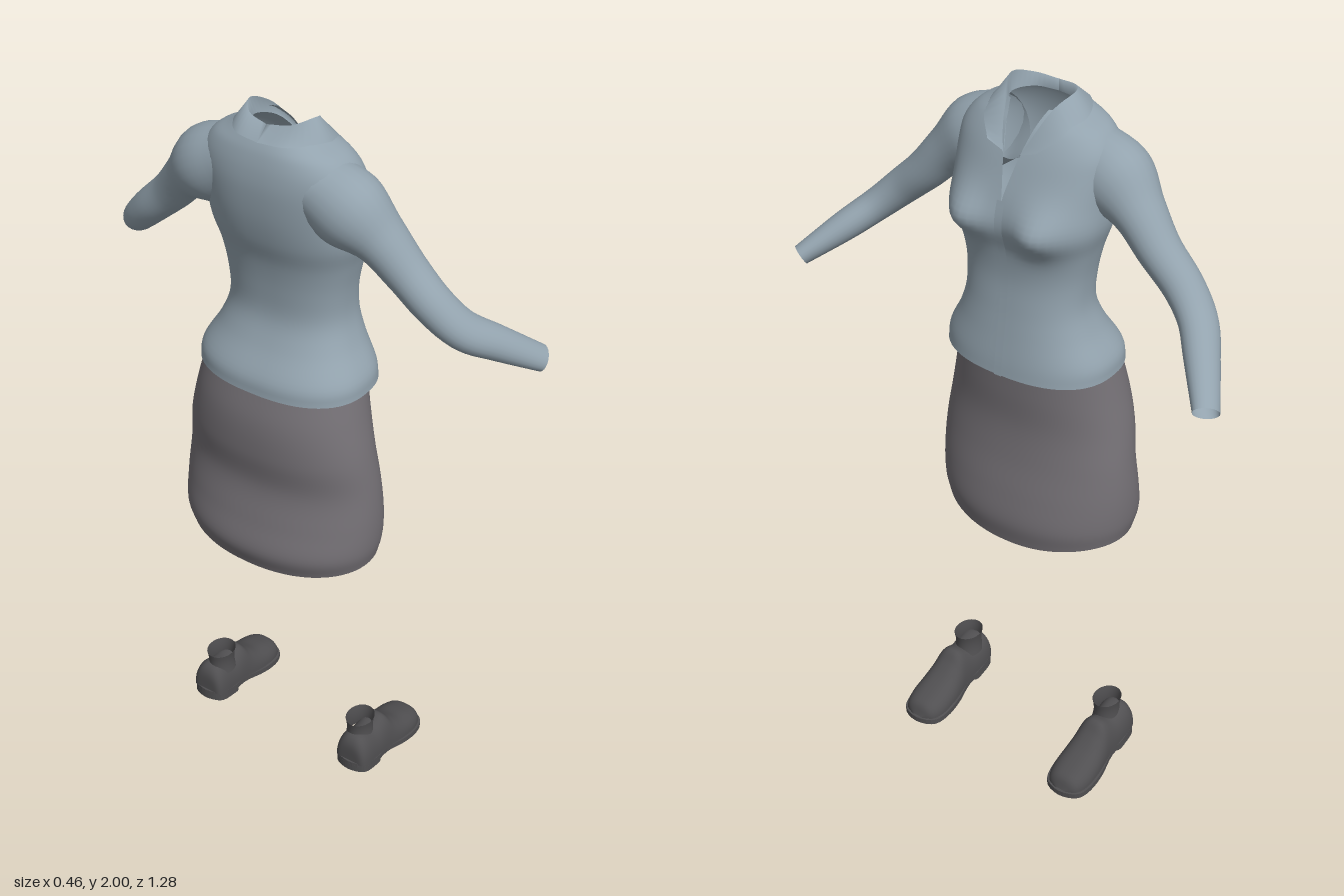
import * as THREE from 'three';

const mat = (name, color) => {
  const m = new THREE.MeshStandardMaterial({ color, side: THREE.DoubleSide });
  m.name = name;
  return m;
};

// Smooth surface from f(u, v); u runs round the section, v along the part
function grid(nu, nv, f, closed = false) {
  const pos = [], idx = [], w = closed ? nu : nu + 1;
  for (let j = 0; j <= nv; j++)
    for (let i = 0; i < w; i++) pos.push(...f(i / nu, j / nv));
  for (let j = 0; j < nv; j++)
    for (let i = 0; i < nu; i++) {
      const k = (i + 1) % w;
      const a = j * w + i, b = j * w + k, c = a + w, d = b + w;
      idx.push(a, c, b, b, c, d);
    }
  const g = new THREE.BufferGeometry();
  g.setAttribute('position', new THREE.Float32BufferAttribute(pos, 3));
  g.setIndex(idx);
  g.computeVertexNormals();
  return g;
}

// Smoothly sample a table of section rows
function sampler(rows) {
  const curve = (k) => new THREE.CatmullRomCurve3(
    rows.map((r) => new THREE.Vector3(r[k], r[k + 1] ?? 0, r[k + 2] ?? 0)), false, 'catmullrom', 0.5);
  const c1 = curve(0), c2 = curve(3);
  return (t) => [...c1.getPoint(t).toArray(), ...c2.getPoint(t).toArray()];
}

const spow = (v, p) => Math.sign(v) * Math.abs(v) ** p;

// Blouse body: height, back x, front x, half width, half neck gap
const torso = sampler([
  [1.275, -0.185, 0.148, 0.236, 0], [1.32, -0.178, 0.143, 0.23, 0],
  [1.39, -0.138, 0.132, 0.192, 0], [1.46, -0.112, 0.122, 0.17, 0],
  [1.54, -0.113, 0.115, 0.172, 0], [1.62, -0.125, 0.122, 0.188, 0],
  [1.69, -0.147, 0.137, 0.208, 0], [1.76, -0.161, 0.125, 0.21, 0.001],
  [1.83, -0.166, 0.1, 0.212, 0.015], [1.88, -0.162, 0.078, 0.205, 0.027],
  [1.92, -0.152, 0.055, 0.175, 0.038], [1.945, -0.14, 0.035, 0.13, 0.046],
  [1.965, -0.125, 0.02, 0.095, 0.055],
]);
const bust = (y, z) =>
  0.045 * Math.exp(-(((Math.abs(z) - 0.11) / 0.065) ** 2) - ((y - 1.7) / 0.06) ** 2);

function torsoPoint(u, v) {
  const n = 2.4, [y, back, front, w, gap] = torso(v);
  const a0 = Math.asin(Math.min(1, (Math.max(0, gap) / w) ** (n / 2)));
  const a = a0 + u * (2 * Math.PI - 2 * a0);
  const z = w * spow(Math.sin(a), 2 / n);
  const x = (front + back) / 2 + ((front - back) / 2) * spow(Math.cos(a), 2 / n);
  return [x + (Math.cos(a) > 0 ? bust(y, z) : 0), y, z];
}

// Sleeve: centre x, y, z, radius across, radius along x
const sleeve = sampler([
  [-0.062, 1.845, 0.12, 0.085, 0.085], [-0.058, 1.8, 0.205, 0.097, 0.092],
  [-0.043, 1.743, 0.278, 0.064, 0.07], [-0.03, 1.67, 0.345, 0.053, 0.058],
  [-0.022, 1.6, 0.42, 0.048, 0.054], [0.008, 1.54, 0.483, 0.043, 0.053],
  [0.078, 1.488, 0.54, 0.039, 0.046], [0.172, 1.422, 0.612, 0.027, 0.036],
]);
function sleevePoint(u, v) {
  const [x, y, z, rb, ra] = sleeve(v);
  const p = sleeve(Math.max(0, v - 0.02)), q = sleeve(Math.min(1, v + 0.02));
  const T = new THREE.Vector3(q[0] - p[0], q[1] - p[1], q[2] - p[2]).normalize();
  const A = new THREE.Vector3(1, 0, 0).addScaledVector(T, -T.x).normalize();
  const B = T.clone().cross(A);
  const c = Math.cos(u * 2 * Math.PI) * ra, s = Math.sin(u * 2 * Math.PI) * rb;
  return [x + A.x * c + B.x * s, y + A.y * c + B.y * s, z + A.z * c + B.z * s];
}

// Half collar: inner edge, fold and outer edge, from back centre to front tip
const collarLines = [
  [[-0.11, 1.95, 0], [-0.09, 1.955, 0.055], [-0.035, 1.955, 0.085], [0.015, 1.94, 0.06], [0.085, 1.86, 0.022]],
  [[-0.108, 1.982, 0], [-0.092, 1.99, 0.06], [-0.045, 2.0, 0.092], [0.012, 1.972, 0.07], [0.088, 1.87, 0.026]],
  [[-0.145, 1.95, 0], [-0.13, 1.952, 0.075], [-0.05, 1.948, 0.128], [0.03, 1.925, 0.118], [0.085, 1.885, 0.07]],
].map((l) => new THREE.CatmullRomCurve3(l.map((p) => new THREE.Vector3(...p))));
const collarPoint = (u, v) => collarLines[Math.round(v * 2)].getPoint(u).toArray();

// Skirt: height, back x, front x, half width
const skirt = sampler([
  [1.3, -0.175, 0.115, 0.222], [1.2, -0.2, 0.112, 0.243], [1.1, -0.203, 0.108, 0.264],
  [1.0, -0.192, 0.118, 0.278], [0.9, -0.212, 0.136, 0.286], [0.82, -0.23, 0.146, 0.284],
  [0.765, -0.213, 0.135, 0.272],
]);
function skirtPoint(u, v) {
  const [y, back, front, w] = skirt(v), a = u * 2 * Math.PI, c = Math.cos(a);
  const dip = v ** 6 * (c > 0 ? 0.026 * c ** 3 : 0.012 * c * c);
  return [(front + back) / 2 + ((front - back) / 2) * spow(c, 0.95), y - dip, w * spow(Math.sin(a), 0.92)];
}

// Shoe upper: x, bottom, top, half width
const upper = sampler([
  [-0.086, 0.06, 0.062, 0.012], [-0.082, 0.06, 0.12, 0.042], [-0.055, 0.055, 0.145, 0.052],
  [0, 0.048, 0.132, 0.052], [0.048, 0.04, 0.147, 0.053], [0.08, 0.035, 0.118, 0.057],
  [0.12, 0.03, 0.09, 0.061], [0.17, 0.022, 0.072, 0.06], [0.208, 0.018, 0.055, 0.046],
  [0.224, 0.018, 0.022, 0.015],
]);
function upperPoint(u, v) {
  const [x, b, t, w] = upper(v), a = u * Math.PI;
  return [x, b + (t - b) * spow(Math.sin(a), 0.9), w * spow(Math.cos(a), 0.8)];
}

// Flat outline in x and z, thickened and tilted down towards the toe
function soleGeometry(points, depth, y0) {
  const side = points.map(([x, z]) => new THREE.Vector2(x, z));
  const other = points.slice(1, -1).reverse().map(([x, z]) => new THREE.Vector2(x, -z));
  const outline = new THREE.CatmullRomCurve3(
    [...side, ...other].map((p) => new THREE.Vector3(p.x, p.y, 0)), true);
  const shape = new THREE.Shape(outline.getPoints(48).slice(0, -1).map((p) => new THREE.Vector2(p.x, p.y)));
  const g = new THREE.ExtrudeGeometry(shape, { depth, bevelEnabled: false });
  g.rotateX(-Math.PI / 2);
  const p = g.attributes.position;
  for (let i = 0; i < p.count; i++) {
    const s = Math.max(0, (p.getX(i) + 0.09) / 0.32);
    p.setY(i, p.getY(i) + y0 - 0.046 * Math.min(1, s * 1.15));
  }
  g.computeVertexNormals();
  return g;
}

export function createModel() {
  const model = new THREE.Group();
  const blue = mat('blouse blue grey', 0x93a3ae);
  const grey = mat('skirt grey', 0x757176);
  const dark = mat('shoe charcoal', 0x504f51);
  const add = (parent, name, geometry, material) => {
    const m = new THREE.Mesh(geometry, material);
    m.name = name;
    parent.add(m);
    return m;
  };

  // Blouse
  const blouse = new THREE.Group();
  blouse.name = 'blouse';
  model.add(blouse);
  add(blouse, 'blouseBody', grid(64, 60, torsoPoint), blue);
  add(blouse, 'placket', grid(2, 30, (u, v) => {
    const [y, , front] = torso(v * 7 / 12);
    return [front + bust(y, 0) + 0.003, y, (u - 0.5) * 0.022];
  }), blue);
  const sleeveGeo = grid(24, 40, sleevePoint, true);
  const collarGeo = grid(20, 2, collarPoint);

  // Skirt
  add(model, 'skirt', grid(64, 36, skirtPoint, true), grey);

  // Shoe parts
  const upperGeo = grid(24, 40, upperPoint);
  const soleGeo = soleGeometry([[-0.092, 0], [-0.075, 0.045], [-0.02, 0.054], [0.04, 0.052],
    [0.11, 0.066], [0.17, 0.066], [0.212, 0.05], [0.23, 0]], 0.016, 0.049);
  const heelGeo = soleGeometry([[-0.092, 0], [-0.075, 0.045], [-0.03, 0.053], [0.005, 0.048], [0.008, 0]], 0.022, 0.035);
  const ankleGeo = grid(24, 6, (u, v) => {
    const a = u * 2 * Math.PI, r = 1 + 0.12 * (2 * v - 1) ** 2;
    return [-0.02 + 0.042 * r * Math.cos(a), 0.11 + 0.07 * v, 0.034 * r * Math.sin(a)];
  }, true);

  // Mirrored pairs
  for (const s of [1, -1]) {
    const side = s > 0 ? 'PlusZ' : 'MinusZ';
    add(blouse, 'sleeve' + side, sleeveGeo, blue).scale.z = s;
    add(blouse, 'collar' + side, collarGeo, blue).scale.z = s;
    const shoe = new THREE.Group();
    shoe.name = 'shoe' + side;
    shoe.position.z = 0.252 * s;
    shoe.scale.z = s;
    add(shoe, 'upper', upperGeo, dark);
    add(shoe, 'sole', soleGeo, dark);
    add(shoe, 'heel', heelGeo, dark);
    add(shoe, 'ankleCuff', ankleGeo, dark).position.z = -0.008;
    model.add(shoe);
  }
  return model;
}
